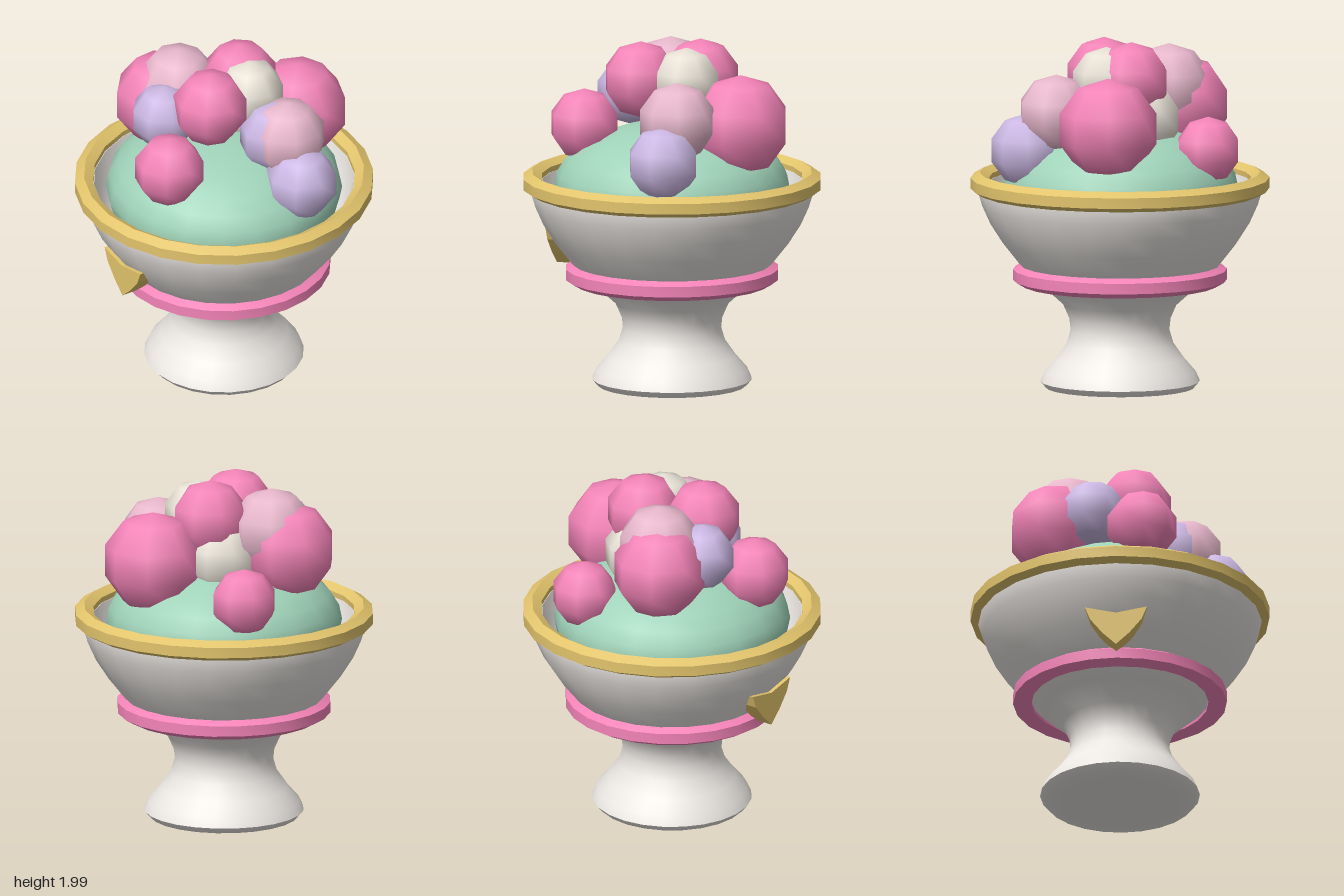
import * as THREE from 'three';
import { toCreasedNormals } from 'three/addons/utils/BufferGeometryUtils.js';

const WHITE = 0xece8e4, GOLD = 0xe2c46c, PINK = 0xf484b8, MINT = 0x9fd2b8;
const LILAC = 0xccb8e4, BLUSH = 0xe8b8cc, CREAM = 0xe8e2d6;

function part(name, geometry, color) {
  const mesh = new THREE.Mesh(geometry, new THREE.MeshStandardMaterial({ color }));
  mesh.name = name;
  return mesh;
}

function lathe(points, crease) {
  const profile = points.map(([x, y]) => new THREE.Vector2(x, y));
  return toCreasedNormals(new THREE.LatheGeometry(profile, 24), crease);
}

// Band with a hexagonal section, one corner pointing up
function hexBand(name, radius, y, size, color) {
  const points = [];
  for (let i = 0; i <= 6; i++) {
    const a = -Math.PI / 6 + (i * Math.PI) / 3;
    points.push([radius + size * Math.cos(a), y + size * Math.sin(a)]);
  }
  return part(name, lathe(points, 0.6), color);
}

export function createModel() {
  const model = new THREE.Group();
  model.name = 'sundaeBowl';

  // Footed bowl: foot, waist, outer wall, rim and inner wall in one profile
  model.add(part('footedBowl', lathe([
    [0, 0.005], [0.3, 0.005], [0.42, 0.02], [0.45, 0.055],
    [0.425, 0.11], [0.36, 0.185], [0.3, 0.27], [0.278, 0.345], [0.285, 0.41],
    [0.32, 0.49], [0.42, 0.58], [0.5, 0.65], [0.565, 0.72], [0.66, 0.84],
    [0.73, 0.95], [0.775, 1.05], [0.8, 1.13], [0.8, 1.18],
    [0.735, 1.18], [0.71, 1.08], [0.65, 0.95], [0.5, 0.8], [0, 0.74],
  ], 0.75), WHITE));

  // Bands
  model.add(hexBand('rimBand', 0.79, 1.18, 0.06, GOLD));
  model.add(hexBand('waistBand', 0.55, 0.66, 0.06, PINK));

  // Mint filling
  const filling = part('filling', new THREE.SphereGeometry(1, 20, 14), MINT);
  filling.scale.set(0.665, 0.37, 0.665);
  filling.position.y = 1.15;
  model.add(filling);

  // Front ornament
  const half = [[0.175, 0.9], [0.145, 0.825], [0.075, 0.74]];
  const outline = [[0, 0.865], ...half.map(([x, y]) => [-x, y]), [0, 0.67], ...half.slice().reverse()];
  const shape = new THREE.Shape(outline.map(([x, y]) => new THREE.Vector2(x, y)));
  const ornament = part('frontOrnament',
    new THREE.ExtrudeGeometry(shape, { depth: 0.11, bevelEnabled: false }), GOLD);
  ornament.position.z = 0.588;
  model.add(ornament);

  // Scoops: x, y, z, radius, colour
  const scoops = new THREE.Group();
  scoops.name = 'scoops';
  [
    [0.08, 1.55, -0.45, 0.28, PINK],
    [-0.49, 1.4, -0.25, 0.185, PINK],
    [0.53, 1.39, -0.16, 0.205, LILAC],
    [0.365, 1.6, -0.18, 0.217, BLUSH],
    [0.3, 1.59, -0.14, 0.205, LILAC],
    [-0.06, 1.78, -0.15, 0.215, PINK],
    [0.08, 1.77, -0.12, 0.195, CREAM],
    [-0.13, 1.56, -0.12, 0.21, CREAM],
    [0.085, 1.77, 0.155, 0.213, PINK],
    [-0.36, 1.61, 0.18, 0.265, PINK],
    [-0.28, 1.715, 0.12, 0.235, BLUSH],
    [-0.14, 1.655, 0.315, 0.185, LILAC],
    [0.14, 1.5, 0.475, 0.2, PINK],
  ].forEach(([x, y, z, r, color], i) => {
    const scoop = part(`scoop${i + 1}`, new THREE.SphereGeometry(r * 1.02, 8, 5), color);
    scoop.position.set(x, y, z);
    scoop.rotation.y = i * 0.4;
    scoops.add(scoop);
  });
  model.add(scoops);

  return model;
}
